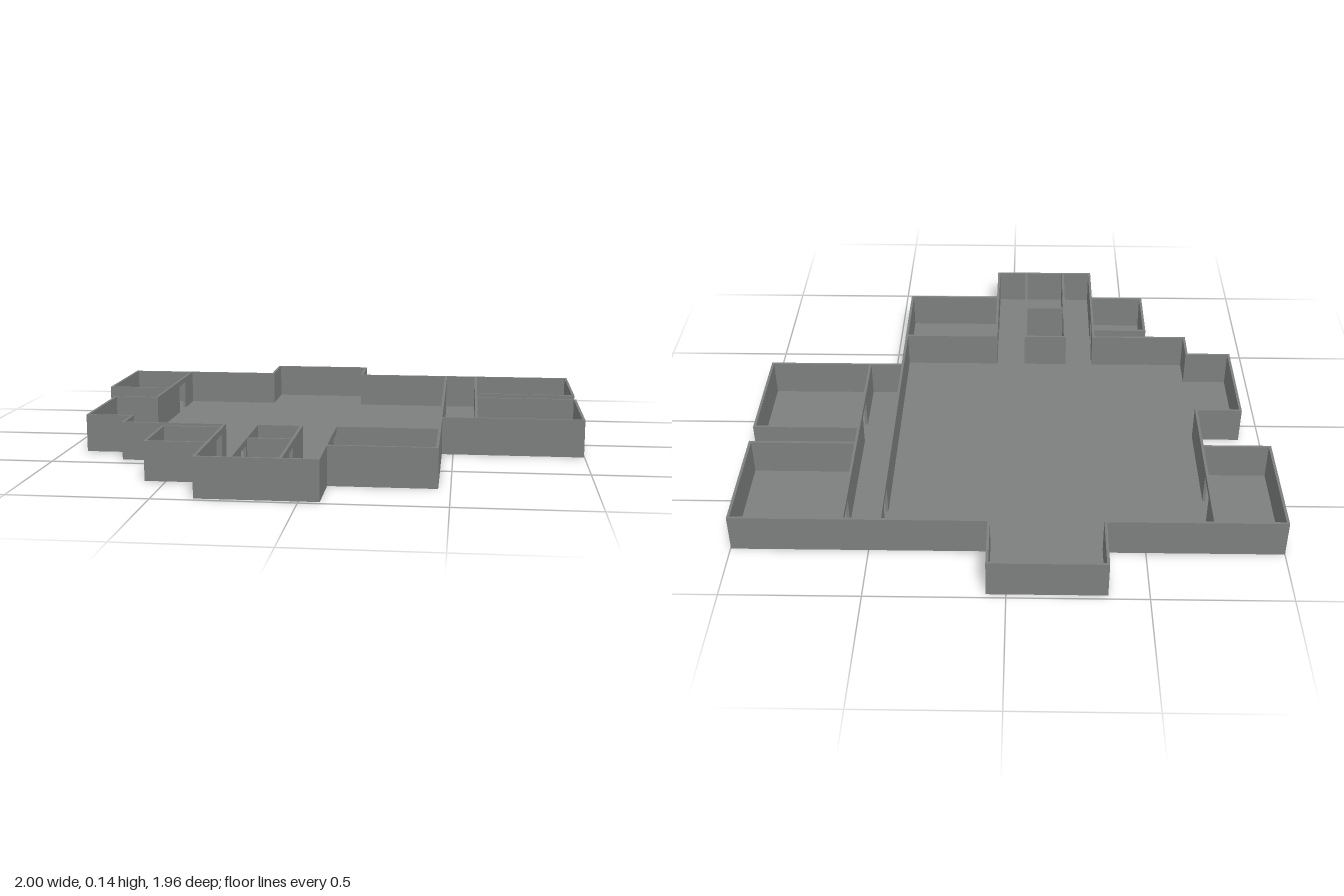
import * as THREE from 'three';

const HEIGHT = 0.145, THICK = 0.01, FLOOR = 0.006, DOOR = 0.122;

// Wall centre lines as [x, z] corners
const OUTLINE = [
  [-0.995, -0.76], [-0.35, -0.76], [-0.35, -0.978], [0.065, -0.978], [0.065, -0.76],
  [0.993, -0.76], [0.993, -0.32], [0.587, -0.32], [0.587, -0.222], [0.993, -0.222],
  [0.993, 0.214], [0.452, 0.214], [0.452, 0.758], [0.067, 0.758], [0.067, 0.975],
  [-0.35, 0.975], [-0.35, 0.755], [-0.572, 0.755], [-0.572, 0.492], [-0.35, 0.492],
  [-0.35, 0.437], [-0.738, 0.437], [-0.738, 0.309], [-0.913, 0.309], [-0.913, -0.086],
  [-0.738, -0.086], [-0.738, -0.32], [-0.995, -0.32],
];
const COURTYARD = [[-0.228, 0.437], [-0.06, 0.437], [-0.06, 0.67], [-0.228, 0.67]];

// Inner walls along z: x, start, end, doorway start, doorway end
const PARTITIONS = [
  ['sideRoomWall', -0.738, -0.76, -0.32, -0.6, -0.48],
  ['corridorWall', 0.452, -0.76, 0.214, -0.67, -0.56],
  ['backRoomWall', 0.587, -0.76, -0.32, -0.74, -0.63],
  ['middleRoomWall', 0.587, -0.222, 0.214, -0.13, -0.02],
  ['frontRoomWall', 0.067, 0.437, 0.758, 0.45, 0.55],
  ['smallRoomWall', -0.35, 0.492, 0.755, 0.52, 0.62],
  ['entryWallRight', -0.228, 0.67, 0.975, 0.7, 0.8],
  ['entryWallLeft', -0.06, 0.67, 0.975, 0.7, 0.8],
];

export function createModel() {
  const model = new THREE.Group();
  const material = new THREE.MeshStandardMaterial({ color: 0x7d7f7e, flatShading: true });

  // Straight wall between two points on the axes, from height bottom to the top
  function wall(name, [x0, z0], [x1, z1], extra = THICK, bottom = 0) {
    const alongX = Math.abs(x1 - x0) > Math.abs(z1 - z0);
    const length = Math.hypot(x1 - x0, z1 - z0) + extra;
    const geometry = new THREE.BoxGeometry(
      alongX ? length : THICK, HEIGHT - bottom, alongX ? THICK : length);
    const mesh = new THREE.Mesh(geometry, material);
    mesh.name = name;
    mesh.position.set((x0 + x1) / 2, (HEIGHT + bottom) / 2, (z0 + z1) / 2);
    model.add(mesh);
  }
  const wallLoop = (name, points) =>
    points.forEach((p, i) => wall(name, p, points[(i + 1) % points.length]));

  // Floor slab with the open courtyard cut out
  const toShape = (points) => points.map(([x, z]) => new THREE.Vector2(x, -z));
  const shape = new THREE.Shape(toShape(OUTLINE));
  shape.holes.push(new THREE.Path(toShape(COURTYARD)));
  const slab = new THREE.ExtrudeGeometry(shape, { depth: FLOOR, bevelEnabled: false });
  slab.rotateX(-Math.PI / 2);
  const floor = new THREE.Mesh(slab, material);
  floor.name = 'floor';
  model.add(floor);

  // Outer walls and courtyard walls
  wallLoop('outerWall', OUTLINE);
  wallLoop('courtyardWall', COURTYARD);

  // Partitions, each with a doorway under a lintel
  for (const [name, x, start, end, door0, door1] of PARTITIONS) {
    wall(name, [x, start], [x, door0], 0);
    wall(name, [x, door1], [x, end], 0);
    wall(name + 'Lintel', [x, door0], [x, door1], 0, DOOR);
  }
  wall('frontRoomBackWall', [0.067, 0.437], [0.452, 0.437]);

  return model;
}
